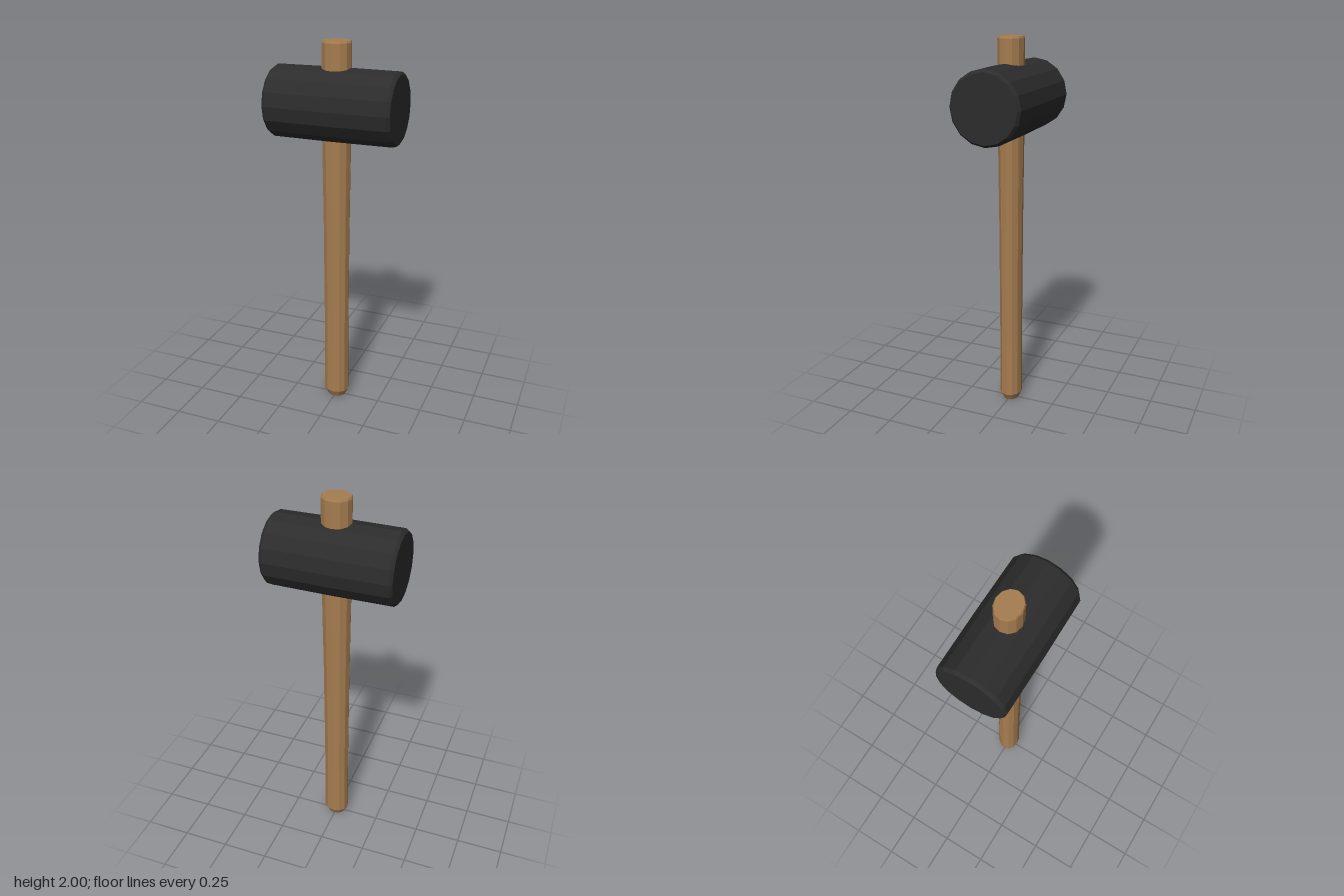
import * as THREE from 'three';

// Faceted turned solid from [radius, height] pairs listed bottom to top
function turned(profile, sides) {
  const points = profile.map(([r, y]) => new THREE.Vector2(r, y));
  const geometry = new THREE.LatheGeometry(points, sides).toNonIndexed();
  geometry.computeVertexNormals();
  return geometry;
}

export function createModel() {
  const wood = new THREE.MeshStandardMaterial({ color: 0xa67d50 });
  wood.name = 'wood';
  const rubber = new THREE.MeshStandardMaterial({ color: 0x2c2c2c });
  rubber.name = 'blackRubber';

  const model = new THREE.Group();
  model.name = 'mallet';

  // Oval tapered handle, chamfered at both ends
  const handleGeometry = turned([
    [0, 0], [0.048, 0], [0.07, 0.04], [0.068, 0.35], [0.069, 0.65], [0.071, 1.05],
    [0.076, 1.5], [0.077, 1.99], [0.072, 2], [0, 2],
  ], 12);
  handleGeometry.scale(1, 1, 0.87);
  handleGeometry.computeVertexNormals();
  const handle = new THREE.Mesh(handleGeometry, wood);
  handle.name = 'handle';
  model.add(handle);

  // Cylindrical head lying along x, with chamfered striking faces
  const headGeometry = turned([
    [0, -0.332], [0.172, -0.332], [0.185, -0.316], [0.187, 0],
    [0.185, 0.316], [0.172, 0.332], [0, 0.332],
  ], 16);
  headGeometry.rotateZ(Math.PI / 2);
  const head = new THREE.Mesh(headGeometry, rubber);
  head.name = 'head';
  head.position.y = 1.685;
  model.add(head);

  return model;
}
